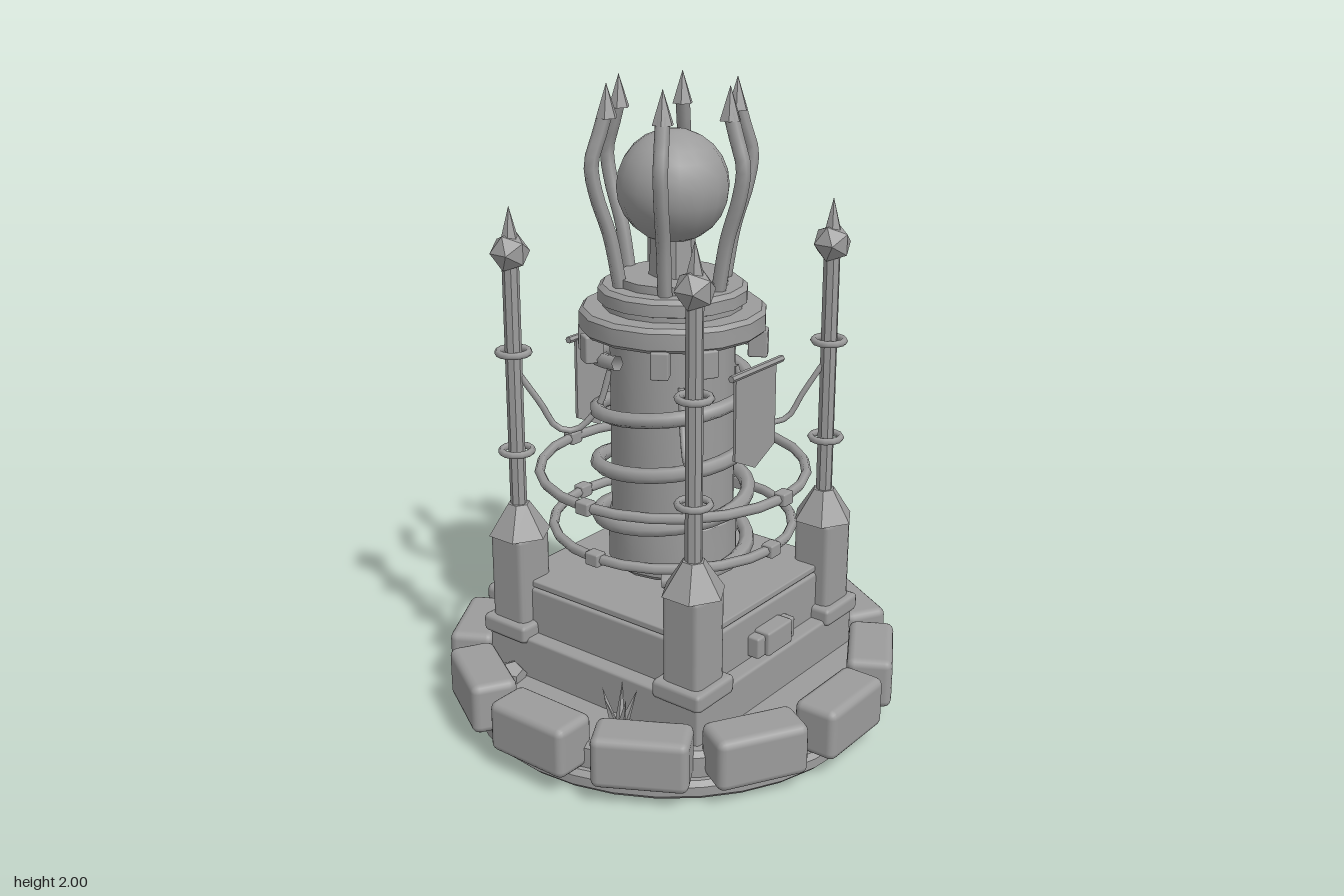
import * as THREE from 'three';
import { RoundedBoxGeometry } from 'three/addons/geometries/RoundedBoxGeometry.js';
import { toCreasedNormals } from 'three/addons/utils/BufferGeometryUtils.js';

export function createModel() {
  const root = new THREE.Group();
  root.name = 'arcaneTower';
  const stone = new THREE.MeshStandardMaterial({ color: 0x9c9c9c, side: THREE.DoubleSide });
  stone.name = 'stoneGrey';

  const add = (name, geo, x = 0, y = 0, z = 0, parent = root) => {
    const m = new THREE.Mesh(geo, stone);
    m.name = name;
    m.position.set(x, y, z);
    parent.add(m);
    return m;
  };
  const crease = (g, a = 0.5) => toCreasedNormals(g, a);
  const lathe = (pts, n) => crease(new THREE.LatheGeometry(pts.map(p => new THREE.Vector2(p[0], p[1])), n));
  const cyl = (r1, r2, h, n) => crease(new THREE.CylinderGeometry(r1, r2, h, n));
  const box = (w, h, d, r = 0.01) => new RoundedBoxGeometry(w, h, d, 1, r);
  const ring = (r, t, n = 24) => new THREE.TorusGeometry(r, t, 6, n).rotateX(Math.PI / 2);
  const tube = (pts, r, n = 16) =>
    new THREE.TubeGeometry(new THREE.CatmullRomCurve3(pts.map(p => new THREE.Vector3(...p))), n, r, 6);
  // Group turned about the vertical axis, local +z pointing outwards
  const spoke = (name, a) => {
    const g = new THREE.Group();
    g.name = name;
    g.rotation.y = a;
    root.add(g);
    return g;
  };

  // Round base and kerb stones
  add('base', lathe([[0, 0], [0.645, 0], [0.66, 0.015], [0.66, 0.045], [0.645, 0.06],
    [0.63, 0.06], [0.63, 0.125], [0.615, 0.14], [0, 0.14]], 32));
  for (let i = 0; i < 12; i++) {
    const g = spoke('kerb', i * Math.PI / 6);
    add('kerbStone', new RoundedBoxGeometry(0.29, 0.165, 0.145, 2, 0.025), 0, 0.142, 0.643, g);
  }

  // Stepped square plinth
  add('plinthStep', box(0.84, 0.15, 0.84), 0, 0.2, 0);
  add('plinthBody', box(0.74, 0.16, 0.74), 0, 0.345, 0);
  add('plinthTrim', box(0.7, 0.02, 0.7, 0.004), 0, 0.42, 0);
  add('plinthCap', box(0.73, 0.022, 0.73, 0.005), 0, 0.439, 0);
  add('plaque', box(0.2, 0.07, 0.05, 0.008), 0, 0.32, 0.385);
  add('plaqueInset', box(0.13, 0.08, 0.06, 0.008), 0, 0.325, 0.395);

  // Corner pedestals, poles, finials and hanging cables
  for (const x of [-0.345, 0.345]) for (const z of [-0.345, 0.345]) {
    const g = new THREE.Group();
    g.name = 'cornerPost';
    g.position.set(x, 0, z);
    root.add(g);
    add('pedestalFoot', box(0.18, 0.06, 0.18, 0.015), 0, 0.285, 0, g);
    add('pedestal', box(0.138, 0.33, 0.138, 0.022), 0, 0.44, 0, g);
    add('pedestalRoof', cyl(0.035, 0.1, 0.1, 6), 0, 0.645, 0, g);
    add('pole', cyl(0.026, 0.026, 0.82, 8), 0, 1.07, 0, g);
    add('poleRing', ring(0.048, 0.011, 12), 0, 0.87, 0, g);
    add('poleRing', ring(0.048, 0.011, 12), 0, 1.19, 0, g);
    add('finial', new THREE.IcosahedronGeometry(0.062, 0), 0, 1.5, 0, g);
    add('finialSpike', crease(new THREE.ConeGeometry(0.027, 0.1, 6)), 0, 1.59, 0, g);
    const at = (f, y) => [x * f, y, z * f];
    add('cable', tube([at(0.96, 1.11), at(0.84, 1.02), at(0.74, 0.94), at(0.62, 0.93),
      at(0.48, 1.0), at(0.4, 1.12)], 0.01));
  }

  // Floating column wrapped by a spiral
  add('column', lathe([[0, 0.485], [0.19, 0.485], [0.205, 0.5], [0.205, 0.65], [0.195, 0.665],
    [0.195, 1.255], [0, 1.255]], 16));
  class Spiral extends THREE.Curve {
    getPoint(t, v = new THREE.Vector3()) {
      const a = -Math.PI / 3 + t * Math.PI * 7.8;
      return v.set(0.237 * Math.sin(a), 0.535 + 0.175 * a / (2 * Math.PI), 0.237 * Math.cos(a));
    }
  }
  add('spiral', new THREE.TubeGeometry(new Spiral(), 110, 0.024, 6));

  // Floating hoops with four studs each
  for (const [r, y] of [[0.42, 0.795], [0.38, 0.615]]) {
    add('hoop', ring(r, 0.016), 0, y, 0);
    for (let i = 0; i < 4; i++)
      add('hoopStud', box(0.05, 0.042, 0.042, 0.006), 0, y, r, spoke('stud', i * Math.PI / 2));
  }

  // Collar with brackets and upper steps
  add('collar', lathe([[0, 1.25], [0.275, 1.25], [0.288, 1.262], [0.288, 1.312], [0.275, 1.325],
    [0.215, 1.325], [0.215, 1.34], [0.23, 1.345], [0.23, 1.382], [0.215, 1.395],
    [0.17, 1.395], [0.17, 1.42], [0, 1.42]], 16));
  for (let i = 0; i < 12; i++) {
    if (i % 3 === 0) continue;
    add('bracket', box(0.055, 0.085, 0.06, 0.006), 0, 1.215, 0.262, spoke('collarBracket', i * Math.PI / 6));
  }

  // Orb on its stand, held by six claws
  add('orbStand', cyl(0.065, 0.075, 0.16, 8), 0, 1.49, 0);
  add('orb', new THREE.SphereGeometry(0.17, 16, 12), 0, 1.688, 0);
  for (let i = 0; i < 6; i++) {
    const g = spoke('claw', i * Math.PI / 3);
    add('clawArm', tube([[0, 1.39, 0.17], [0, 1.55, 0.2], [0, 1.68, 0.242], [0, 1.77, 0.255],
      [0, 1.85, 0.23], [0, 1.92, 0.208]], 0.022), 0, 0, 0, g);
    add('clawTip', crease(new THREE.ConeGeometry(0.033, 0.1, 6)), 0, 1.95, 0.206, g);
  }

  // Pointed banners at front and back
  const cloth = new THREE.Shape([[-0.103, 1.175], [-0.103, 0.915], [0, 0.865], [0.103, 0.915], [0.103, 1.175]]
    .map(p => new THREE.Vector2(...p)));
  for (const a of [0, Math.PI]) {
    const g = spoke('banner', a);
    add('bannerCloth', new THREE.ExtrudeGeometry(cloth, { depth: 0.009, bevelEnabled: false }), 0, 0, 0.305, g);
    add('bannerRod', cyl(0.011, 0.011, 0.26, 6).rotateZ(Math.PI / 2), 0, 1.18, 0.315, g);
  }

  // Grass tufts
  for (const [x, z] of [[-0.03, -0.5], [0.12, -0.5], [0.3, -0.47], [-0.47, 0.16]]) {
    const g = new THREE.Group();
    g.name = 'grassTuft';
    g.position.set(x, 0.135, z);
    root.add(g);
    for (let i = 0; i < 5; i++) {
      const a = i * 1.26 + x * 9;
      const blade = new THREE.ConeGeometry(0.016, 0.13, 4).translate(0, 0.065, 0).rotateX(0.35).rotateY(a);
      add('grassBlade', crease(blade), 0.012 * Math.sin(a), 0, 0.012 * Math.cos(a), g);
    }
  }

  // Loose rocks
  for (const [x, z, r] of [[-0.22, -0.52, 0.085], [0.5, 0.13, 0.085], [0.5, -0.07, 0.06], [-0.46, -0.3, 0.055]]) {
    const rock = add('rock', new THREE.DodecahedronGeometry(r, 0), x, 0.15, z);
    rock.scale.y = 0.8;
    rock.rotation.y = x * 7 + z;
  }
  return root;
}
